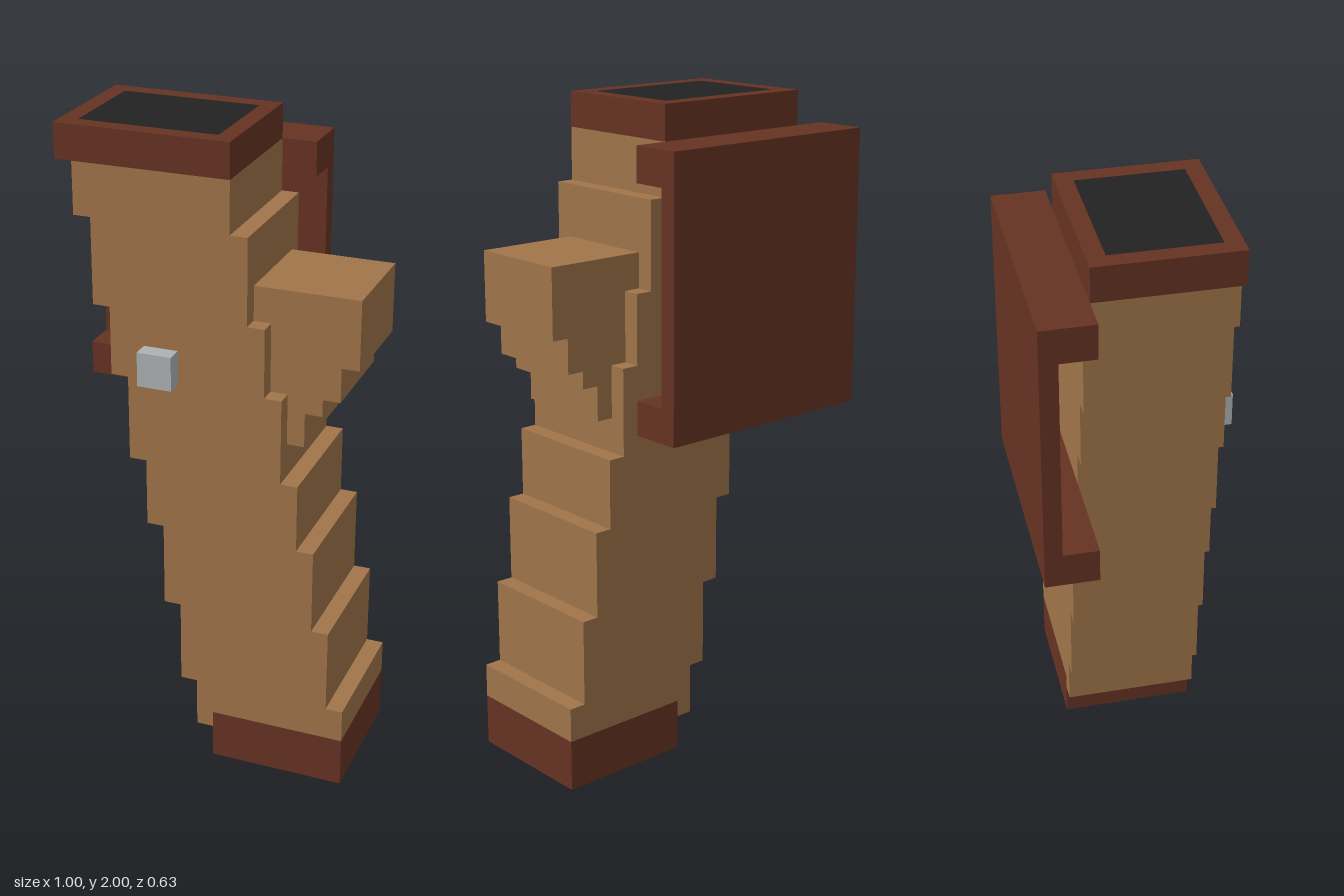
import * as THREE from 'three';

// All parts sit on a block grid: 38 units tall = 2 world units.
const U = 2 / 38;

export function createModel() {
  const model = new THREE.Group();
  model.name = 'blockyJug';

  const material = (name, color) => {
    const m = new THREE.MeshStandardMaterial({ color });
    m.name = name;
    return m;
  };
  const lightWood = material('lightWood', 0xa0744a);
  const darkWood = material('darkWood', 0x663322);
  const black = material('black', 0x222222);
  const grey = material('grey', 0xaeb2b3);

  const group = (name) => {
    const g = new THREE.Group();
    g.name = name;
    model.add(g);
    return g;
  };

  // Box from grid limits
  const block = (parent, name, mat, x0, x1, y0, y1, z0, z1) => {
    const geo = new THREE.BoxGeometry((x1 - x0) * U, (y1 - y0) * U, (z1 - z0) * U);
    const mesh = new THREE.Mesh(geo, mat);
    mesh.position.set((x0 + x1) / 2 * U, (y0 + y1) / 2 * U, (z0 + z1) / 2 * U);
    mesh.name = name;
    parent.add(mesh);
  };

  // Leaning body: each step down shifts one unit to the left side
  const body = group('body');
  const levels = [36, 33, 28, 24, 19, 15, 10, 5, 3];
  for (let i = 0; i < levels.length - 1; i++) {
    block(body, 'bodyStep', lightWood, -6.5 + i, 2.5 + i, levels[i + 1], levels[i], -3, 5);
  }
  block(body, 'bodyLip', lightWood, 0.5, 1.5, 2, 3, -3, 5);

  // Base
  block(model, 'base', darkWood, 1.5, 9.5, 0, 3, -3, 5);

  // Rim framing the dark opening
  const rim = group('rim');
  block(rim, 'rimFront', darkWood, -7.5, 2.5, 36, 38, 4, 5);
  block(rim, 'rimBack', darkWood, -7.5, 2.5, 36, 38, -3, -2);
  block(rim, 'rimRight', darkWood, -7.5, -6.5, 36, 38, -2, 4);
  block(rim, 'rimLeft', darkWood, 1.5, 2.5, 36, 38, -2, 4);
  block(model, 'opening', black, -6.5, 1.5, 36, 38, -2, 4);

  // Spout, narrowing downwards: [right end, bottom, top]
  const spout = group('spout');
  for (const [x1, y0, y1] of [[9.5, 26, 30], [8.5, 24, 26], [7.5, 23, 24], [6.5, 21, 23]]) {
    block(spout, 'spoutStep', lightWood, 3.5, x1, y0, y1, -2, 4);
  }

  // Wide handle behind the body
  const handle = group('handle');
  block(handle, 'handleTop', darkWood, -9.5, 4.5, 34, 36, -5, -3);
  block(handle, 'handleBottom', darkWood, -9.5, 4.5, 20, 22, -5, -3);
  block(handle, 'handlePanel', darkWood, -9.5, 4.5, 20, 36, -6, -5);

  // Stud on the front
  block(model, 'stud', grey, -2.5, -0.5, 24, 26, 5, 6);

  return model;
}
